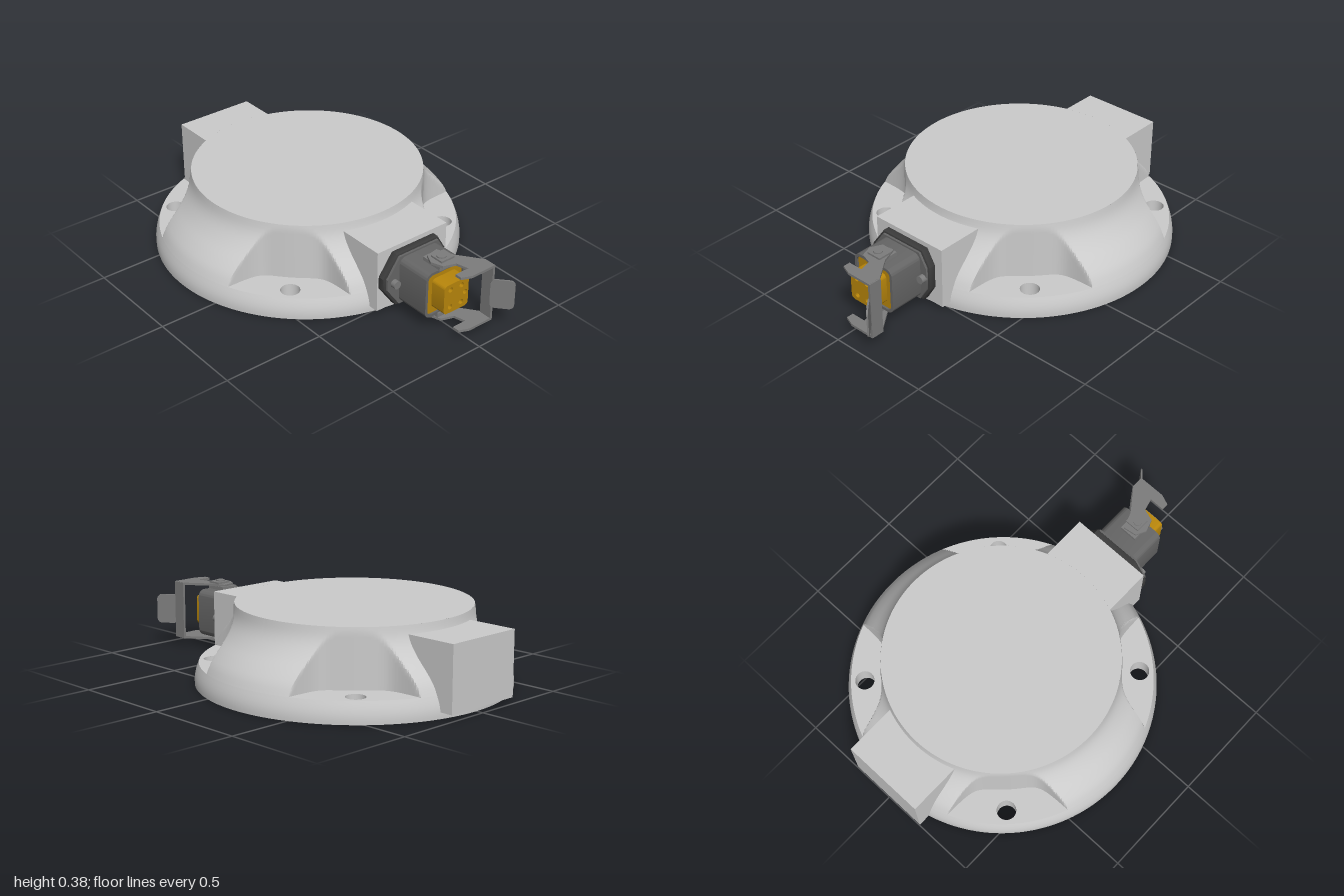
import * as THREE from 'three';
import { toCreasedNormals, mergeGeometries } from 'three/addons/utils/BufferGeometryUtils.js';

const CX = -0.22; // axis of the round body
const paint = (color) => new THREE.MeshStandardMaterial({ color, side: THREE.DoubleSide });
const grey = paint(0xcccccc), dark = paint(0x666666), rubber = paint(0x3c3c3c);
const metal = paint(0x7c7c7c), gold = paint(0xb8860b);
const v2 = (list) => list.map(([x, y]) => new THREE.Vector2(x, y));

function add(parent, name, geometry, material, x = 0, y = 0, z = 0) {
  const mesh = new THREE.Mesh(geometry, material);
  mesh.name = name;
  mesh.position.set(x, y, z);
  parent.add(mesh);
  return mesh;
}

// Box given by its min and max on each axis
function block(parent, name, material, [x0, x1], [y0, y1], [z0, z1]) {
  return add(parent, name, new THREE.BoxGeometry(x1 - x0, y1 - y0, z1 - z0), material,
    (x0 + x1) / 2, (y0 + y1) / 2, (z0 + z1) / 2);
}

const circle = (x, y, r) => new THREE.Path().absarc(x, y, r, 0, Math.PI * 2);

function roundRect(w, h, r, Type = THREE.Shape) {
  const s = new Type(), a = w / 2 - r, b = h / 2 - r, q = Math.PI / 2;
  s.absarc(a, b, r, 0, q);
  s.absarc(-a, b, r, q, 2 * q);
  s.absarc(-a, -b, r, 2 * q, 3 * q);
  s.absarc(a, -b, r, 3 * q, 4 * q);
  s.closePath();
  return s;
}

// Shape drawn in (-z, y), extruded along +x
function alongX(shape, depth, bevel = 0) {
  const g = new THREE.ExtrudeGeometry(shape, {
    depth, bevelEnabled: bevel > 0, bevelSize: bevel, bevelThickness: bevel, bevelOffset: -bevel,
    bevelSegments: 2, curveSegments: 8,
  });
  return toCreasedNormals(g.rotateY(Math.PI / 2), 0.6);
}

// Shape drawn in (x, z), extruded downward
const flat = (shape, depth) => new THREE.ExtrudeGeometry(shape,
  { depth, bevelEnabled: false, curveSegments: 48 }).rotateX(Math.PI / 2);

// Radius at which a ray from the axis enters a corner pocket
function pocketRadius(t) {
  const p = 14;
  return ((0.27 / Math.abs(Math.cos(t))) ** p + (0.28 / Math.abs(Math.sin(t))) ** p + 0.56 ** p) ** (1 / p);
}

// Skin through rings of [radius, height]; cut trims the radius by angle
function skin(rows, cut) {
  const n = 720, pos = [], index = [];
  rows.forEach(({ x: r, y }) => {
    for (let i = 0; i <= n; i++) {
      const t = (i / n) * Math.PI * 2, k = cut ? Math.min(r, pocketRadius(t)) : r;
      pos.push(k * Math.cos(t), y, k * Math.sin(t));
    }
  });
  for (let j = 0; j < rows.length - 1; j++) {
    for (let i = 0; i < n; i++) {
      const a = j * (n + 1) + i, b = a + n + 1;
      index.push(a, b, a + 1, a + 1, b, b + 1);
    }
  }
  const g = new THREE.BufferGeometry();
  g.setAttribute('position', new THREE.Float32BufferAttribute(pos, 3));
  g.setIndex(index);
  return toCreasedNormals(g, 0.6);
}

function createBody() {
  const body = new THREE.Group();
  body.name = 'body';
  body.position.x = CX;
  const floorY = 0.1, floorR = 0.725, pitch = 0.466, holeR = 0.046;
  const lower = new THREE.SplineCurve(v2([[0.745, 0], [0.745, 0.03], [0.738, 0.065], [floorR, floorY]]));
  const upper = new THREE.SplineCurve(v2([[floorR, floorY], [0.703, 0.145], [0.665, 0.193], [0.62, 0.243],
    [0.585, 0.292], [0.566, 0.335], [0.557, 0.38]]));
  add(body, 'flangeRim', skin(lower.getPoints(6), false), grey);
  add(body, 'flaredWall', skin(upper.getPoints(18), true), grey);
  add(body, 'topFace', new THREE.CircleGeometry(0.557, 120).rotateX(-Math.PI / 2), grey, 0, 0.38);

  // Underside ring with bolt holes
  const ring = new THREE.Shape().absarc(0, 0, 0.745, 0, Math.PI * 2);
  ring.holes.push(circle(0, 0, 0.545));
  const holes = [[0, 0.66], [0, -0.66]];
  for (const sx of [-1, 1]) for (const sz of [-1, 1]) holes.push([sx * pitch, sz * pitch]);
  holes.forEach(([x, z]) => {
    ring.holes.push(circle(x, z, holeR));
    add(body, 'boltHole', new THREE.CylinderGeometry(holeR, holeR, floorY, 32, 1, x === 0), grey, x, floorY / 2, z)
      .geometry = new THREE.CylinderGeometry(holeR, holeR, floorY, 32, 1, true);
    if (x === 0) add(body, 'blindHoleEnd', new THREE.CircleGeometry(holeR, 32).rotateX(Math.PI / 2), grey, x, floorY, z);
  });
  add(body, 'undersideRing', new THREE.ShapeGeometry(ring, 90).rotateX(Math.PI / 2), grey);

  // Pocket floors, one per corner
  for (let q = 0; q < 4; q++) {
    const inner = [], outer = [];
    for (let i = 0; i <= 180; i++) {
      const t = ((q + i / 180) * Math.PI) / 2, r = pocketRadius(t);
      if (r > floorR) continue;
      inner.push(new THREE.Vector2(r * Math.cos(t), r * Math.sin(t)));
      outer.unshift(new THREE.Vector2(floorR * Math.cos(t), floorR * Math.sin(t)));
    }
    const floor = new THREE.Shape([...inner, ...outer]);
    const sx = q === 0 || q === 3 ? 1 : -1, sz = q < 2 ? 1 : -1;
    floor.holes.push(circle(sx * pitch, sz * pitch, holeR));
    const g = new THREE.ShapeGeometry(floor, 24).rotateX(Math.PI / 2);
    // turn the face upward
    const idx = g.index.array;
    for (let i = 0; i < idx.length; i += 3) [idx[i], idx[i + 1]] = [idx[i + 1], idx[i]];
    g.computeVertexNormals();
    add(body, 'pocketFloor', g, grey, 0, floorY);
  }

  // Groove around a central plug with a slot
  const groove = new THREE.LatheGeometry(v2([[0.545, 0], [0.51, 0.15], [0.45, 0.15], [0.45, 0.03]]), 96);
  add(body, 'undersideGroove', toCreasedNormals(groove, 0.5), grey);
  const plug = new THREE.Shape().absarc(0, 0, 0.45, 0, Math.PI * 2);
  const slot = roundRect(0.075, 0.58, 0.037, THREE.Path);
  plug.holes.push(new THREE.Path(slot.getPoints(8).map((p) => new THREE.Vector2(p.x + 0.17, p.y))));
  add(body, 'plug', flat(plug, 0.03), grey, 0, 0.06);
  add(body, 'slotFloor', new THREE.CircleGeometry(0.449, 64).rotateX(Math.PI / 2), grey, 0, 0.06);
  return body;
}

function createConnector() {
  const plug = new THREE.Group();
  plug.name = 'connector';
  const midY = 0.185;

  // Gasket and mounting flange
  const outline = (k) => new THREE.Shape(v2([[-0.2, 0.03], [-0.2, -0.03], [-0.125, -0.135], [0.12, -0.135],
    [0.165, -0.06], [0.165, 0.06], [0.12, 0.135], [-0.125, 0.135]].map(([a, b]) => [a * k, b * k])));
  add(plug, 'gasket', alongX(outline(1), 0.026, 0.006), rubber, 0.551, midY);
  add(plug, 'mountingFlange', alongX(outline(0.93), 0.014), dark, 0.58, midY);
  for (const z of [0.148, -0.135]) {
    add(plug, 'screw', new THREE.CylinderGeometry(0.02, 0.02, 0.03, 20).rotateZ(Math.PI / 2), metal, 0.603, midY, z);
  }

  // Hollow housing
  const shell = roundRect(0.235, 0.235, 0.035);
  shell.holes.push(roundRect(0.208, 0.208, 0.025, THREE.Path));
  add(plug, 'housing', alongX(shell, 0.185), dark, 0.585, midY);

  // Contact insert with pin holes
  add(plug, 'insertBase', alongX(roundRect(0.208, 0.208, 0.025), 0.11), gold, 0.65, midY);
  const face = roundRect(0.145, 0.15, 0.02);
  for (const [a, b] of [[-0.035, 0.045], [0.03, 0.045], [0.052, 0], [0.03, -0.045], [-0.035, -0.045]]) {
    face.holes.push(circle(a, b, 0.013));
  }
  add(plug, 'contactInsert', alongX(face, 0.08), gold, 0.76, midY);

  // Locking lever: mirrored arms and pivots joined by a bar
  const arm = new THREE.Shape(v2([[0.67, -0.03], [0.75, -0.06], [0.86, -0.14], [0.925, -0.14], [0.925, -0.01],
    [0.905, 0.04], [0.87, 0.04], [0.87, -0.035], [0.81, -0.02], [0.79, 0.04], [0.73, 0.06], [0.68, 0.035]]));
  for (const s of [1, -1]) {
    const at = (h) => midY + s * h;
    const span = (a, b) => [Math.min(at(a), at(b)), Math.max(at(a), at(b))];
    add(plug, 'leverArm', flat(arm, 0.012), metal, 0, at(0.14) + 0.006);
    add(plug, 'pivot', new THREE.CylinderGeometry(0.022, 0.022, 0.045, 20), metal, 0.735, at(0.138));
    block(plug, 'latchLug', metal, [0.665, 0.775], span(0.112, 0.136), [-0.045, 0.045]);
    block(plug, 'latchSpring', metal, [0.7, 0.77], span(0.146, 0.155), [-0.045, 0.03]);
  }
  block(plug, 'leverBar', metal, [0.86, 0.925], [0.04, 0.33], [-0.145, -0.133]);
  const tab = new THREE.ExtrudeGeometry(roundRect(0.11, 0.15, 0.025),
    { depth: 0.008, bevelEnabled: false });
  add(plug, 'leverTab', tab, metal, 0.957, midY, -0.169).rotation.y = 0.72;
  return plug;
}

export function createModel() {
  const model = new THREE.Group();
  model.name = 'model';
  model.add(createBody());
  // Side blocks
  block(model, 'rightBlock', grey, [-1, CX - 0.525], [0.03, 0.34], [-0.205, 0.205]);
  block(model, 'leftBlock', grey, [CX + 0.525, 0.545], [0.03, 0.34], [-0.205, 0.205]);
  model.add(createConnector());
  return model;
}
